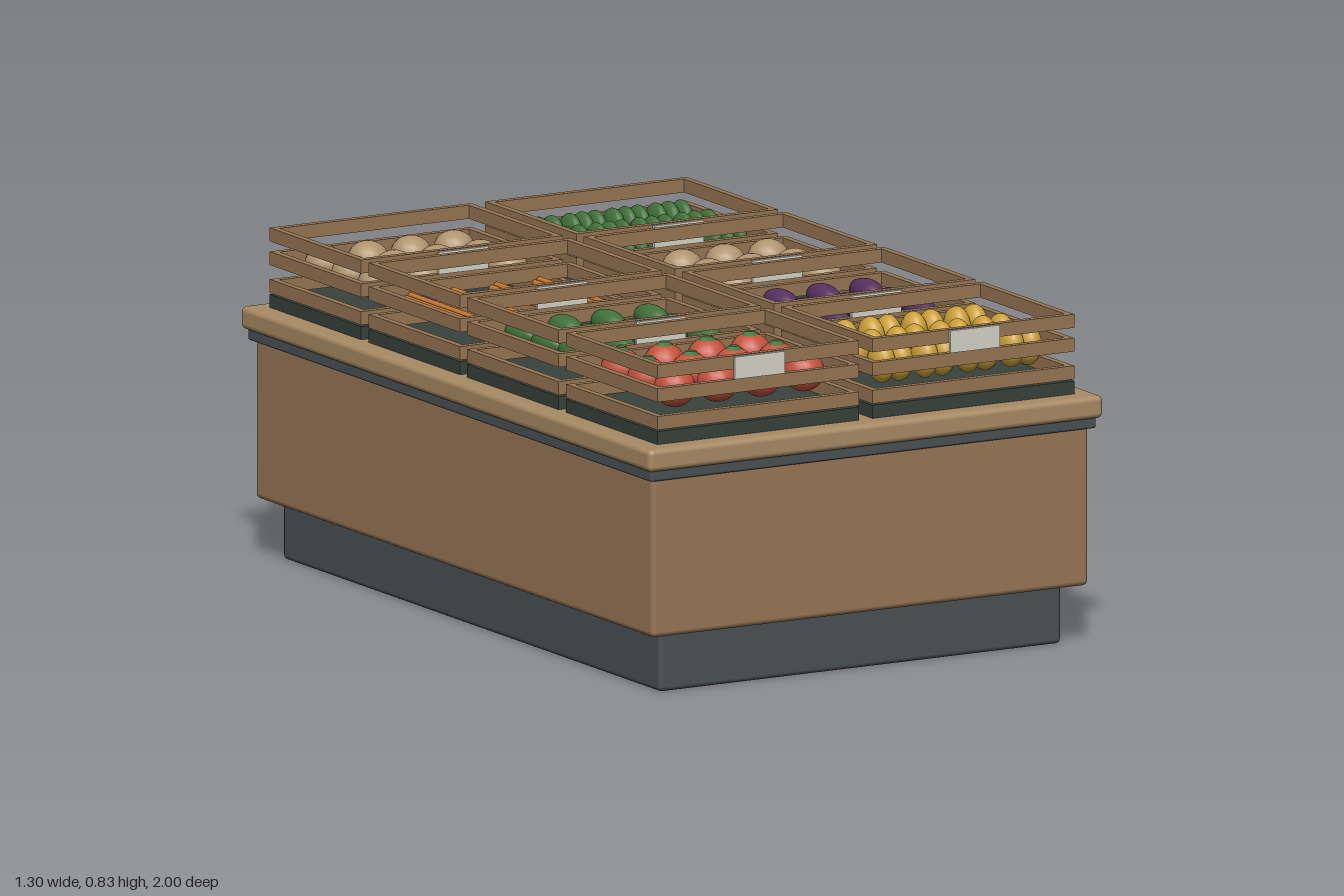
import * as THREE from 'three';
import { RoundedBoxGeometry } from 'three/addons/geometries/RoundedBoxGeometry.js';

const mat = (color) => new THREE.MeshStandardMaterial({ color, roughness: 0.85 });

export function createModel() {
  const model = new THREE.Group();
  model.name = 'produceStand';

  const M = {
    wood: mat(0xa88a64), panel: mat(0x997757), slat: mat(0x967552),
    dark: mat(0x4a5254), liner: mat(0x38423c), tag: mat(0xd4d4c8),
    red: mat(0xc4513d), green: mat(0x41713a), yellow: mat(0xcb9f36),
    purple: mat(0x56305f), tan: mat(0xb0946f), orange: mat(0xc97a2e),
  };
  const ball = new THREE.SphereGeometry(1, 16, 12);
  const rod = new THREE.CylinderGeometry(0.009, 0.009, 0.39, 8).rotateX(Math.PI / 2);
  const leaf = new THREE.CylinderGeometry(0.012, 0.026, 0.012, 8);

  function add(parent, name, geometry, material, x, y, z) {
    const mesh = new THREE.Mesh(geometry, material);
    mesh.name = name;
    mesh.position.set(x, y, z);
    parent.add(mesh);
    return mesh;
  }
  // Rounded block spanning y0..y1
  function block(name, w, d, y0, y1, r, material) {
    add(model, name, new RoundedBoxGeometry(w, y1 - y0, d, 3, r), material, 0, (y0 + y1) / 2, 0);
  }
  const lobe = (parent, name, material, x, rx, ry, rz) =>
    add(parent, name, ball, material, x, 0, 0).scale.set(rx, ry, rz);

  // Cabinet
  block('plinth', 1.15, 1.84, 0, 0.152, 0.012, M.dark);
  block('cabinetBody', 1.25, 1.94, 0.15, 0.57, 0.014, M.panel);
  block('shadowTrim', 1.276, 1.966, 0.548, 0.585, 0.006, M.dark);
  block('displayTop', 1.3, 2, 0.575, 0.632, 0.014, M.wood);

  // One piece of each kind of produce, centred on its own origin
  const produce = {
    tomato(p) {
      lobe(p, 'tomatoFruit', M.red, 0, 0.052, 0.05, 0.052);
      add(p, 'tomatoLeaf', leaf, M.green, 0, 0.048, 0);
    },
    yellowPepper(p) {
      for (const s of [-1, 1]) lobe(p, 'pepperLobe', M.yellow, s * 0.025, 0.032, 0.053, 0.044);
    },
    greenPepper(p) {
      for (const s of [-1, 0, 1]) lobe(p, 'pepperLobe', M.green, s * 0.036, 0.021, 0.05, 0.05);
    },
    zucchini(p) { lobe(p, 'zucchiniFruit', M.green, 0, 0.033, 0.032, 0.068); },
    aubergine(p) { lobe(p, 'aubergineFruit', M.purple, 0, 0.033, 0.031, 0.068); },
    potato(p) { lobe(p, 'potatoTuber', M.tan, 0, 0.051, 0.043, 0.052); },
    carrot(p) {
      for (const s of [-1, 0, 1])
        add(p, 'carrotStick', rod, M.orange, s * 0.0135, s ? -0.012 : -0.006, 0);
    },
  };

  // Slatted crate with liner and price tag, filled with a 4 x 3 grid
  const W = 0.577, D = 0.446, T = 0.018;
  const linerGeo = new THREE.BoxGeometry(W, 0.034, D);
  const longSlat = new THREE.BoxGeometry(W, 0.034, T);
  const sideSlat = new THREE.BoxGeometry(T, 0.034, D - 2 * T);
  const tagGeo = new THREE.BoxGeometry(0.142, 0.056, 0.008);

  function crate(kind, x, z) {
    const g = new THREE.Group();
    g.name = kind + 'Crate';
    g.position.set(x, 0, z);
    model.add(g);
    add(g, 'crateLiner', linerGeo, M.liner, 0, 0.648, 0);
    for (const y of [0.686, 0.756, 0.816]) {
      for (const s of [-1, 1]) {
        add(g, 'endSlat', longSlat, M.slat, 0, y, s * (D - T) / 2);
        add(g, 'sideSlat', sideSlat, M.slat, s * (W - T) / 2, y, 0);
      }
    }
    add(g, 'priceTag', tagGeo, M.tag, 0, 0.803, D / 2 + 0.005);

    const rows = kind === 'carrot' ? [0] : [-1, 0, 1];
    for (const row of rows) {
      for (let col = 0; col < 4; col++) {
        const item = new THREE.Group();
        item.name = kind;
        item.position.set((col - 1.5) * 0.123, 0.75, row * 0.13);
        produce[kind](item);
        g.add(item);
      }
    }
  }

  // Two columns of crates, front to back
  const layout = [
    ['tomato', 'yellowPepper'],
    ['zucchini', 'aubergine'],
    ['carrot', 'potato'],
    ['potato', 'greenPepper'],
  ];
  layout.forEach((pair, i) => pair.forEach((kind, j) =>
    crate(kind, (j - 0.5) * 0.616, 0.7225 - i * 0.4817)));

  return model;
}
